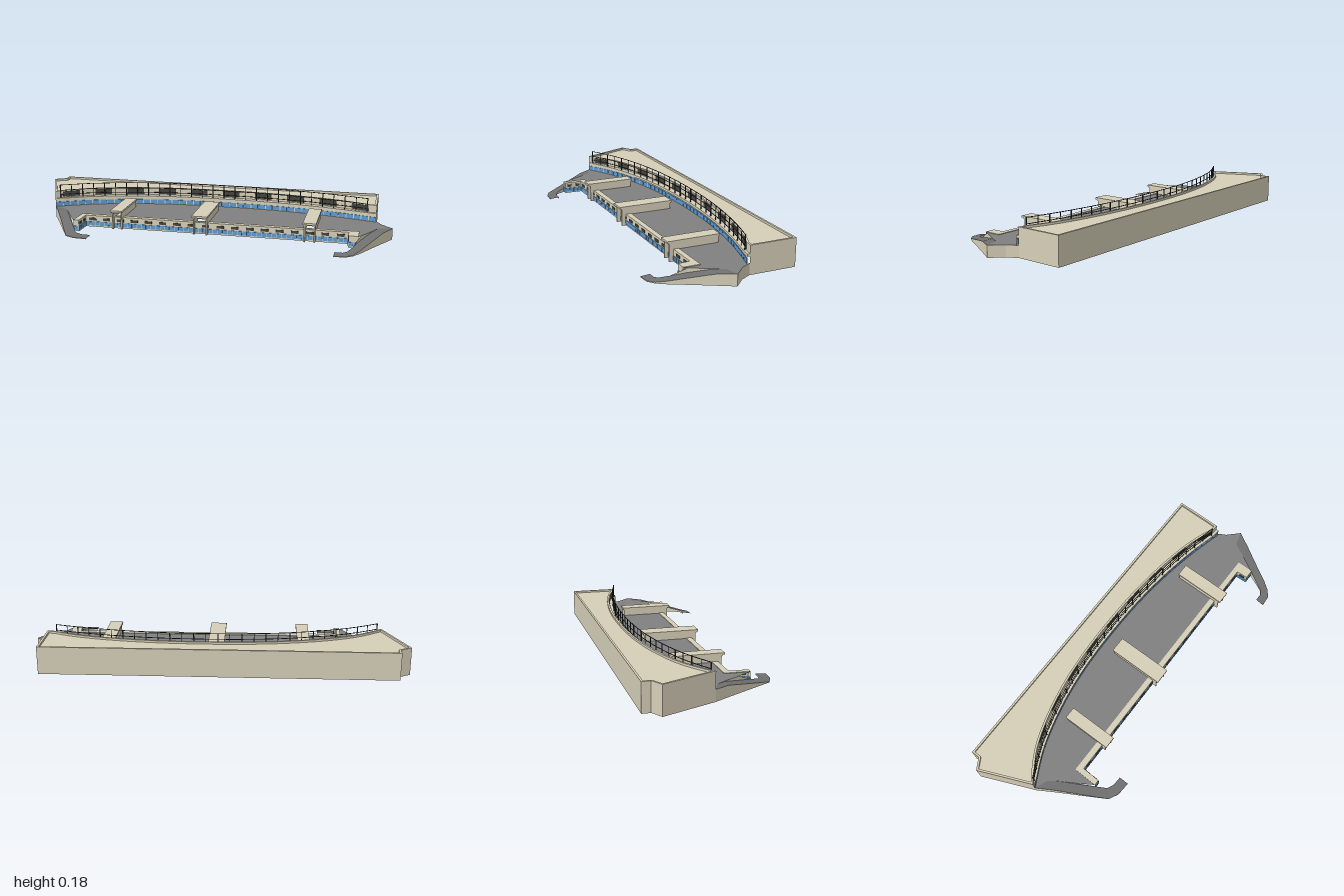
import * as THREE from 'three';

const mat = (color) => new THREE.MeshStandardMaterial({ color, flatShading: true, side: THREE.DoubleSide });
const V = (x, z, y = 0) => new THREE.Vector3(x, y, z);
const path = (list) => list.map(([x, z]) => V(x, z));

export function createModel() {
  const root = new THREE.Group();
  const beige = mat(0xd6cfb8), paving = mat(0x808080), asphalt = mat(0x707070);
  const blue = mat(0x5b9bd5), dark = mat(0x45453f), steel = mat(0x2c2f33);

  const add = (name, geo, material, parent = root) => {
    const m = new THREE.Mesh(geo, material);
    m.name = name;
    parent.add(m);
    return m;
  };
  const group = (name) => {
    const g = new THREE.Group();
    g.name = name;
    root.add(g);
    return g;
  };
  const box = (name, x0, x1, y0, y1, z0, z1, material, parent) =>
    add(name, new THREE.BoxGeometry(x1 - x0, y1 - y0, z1 - z0), material, parent)
      .position.set((x0 + x1) / 2, (y0 + y1) / 2, (z0 + z1) / 2);

  // Surface between two matching rows of points
  const ribbon = (name, a, b, material, parent) => {
    const pos = [], index = [];
    a.forEach((p, i) => pos.push(...p.toArray(), ...b[i].toArray()));
    for (let i = 0; i < a.length - 1; i++) {
      const k = 2 * i;
      index.push(k, k + 2, k + 1, k + 1, k + 2, k + 3);
    }
    const geo = new THREE.BufferGeometry();
    geo.setAttribute('position', new THREE.Float32BufferAttribute(pos, 3));
    geo.setIndex(index);
    geo.computeVertexNormals();
    return add(name, geo, material, parent);
  };
  // Upright wall along a plan path; the top may vary
  const wall = (name, pts, y0, top, material = beige, parent = root) => {
    const h = typeof top === 'function' ? top : () => top;
    return ribbon(name, pts.map((p) => V(p.x, p.z, y0)), pts.map((p) => V(p.x, p.z, h(p))), material, parent);
  };
  // Flat plan shape, extruded upward when y1 > y0
  const slab = (name, pts, y0, y1, material, holes = []) => {
    const flat = (q) => q.map((p) => new THREE.Vector2(p.x, -p.z));
    const shape = new THREE.Shape(flat(pts));
    shape.holes = holes.map((h) => new THREE.Path(flat(h)));
    const geo = y1 > y0
      ? new THREE.ExtrudeGeometry(shape, { depth: y1 - y0, bevelEnabled: false })
      : new THREE.ShapeGeometry(shape);
    geo.rotateX(-Math.PI / 2).translate(0, y0, 0);
    return add(name, geo, material);
  };
  // Thin upright panel between two plan points
  const panel = (name, p, q, y0, y1, depth, material, parent) => {
    const m = add(name, new THREE.BoxGeometry(p.distanceTo(q), y1 - y0, depth), material, parent);
    m.position.set((p.x + q.x) / 2, (y0 + y1) / 2, (p.z + q.z) / 2);
    m.rotation.y = -Math.atan2(q.z - p.z, q.x - p.x);
  };
  const panels = (name, curve, n, fill, y0, y1, depth, material, parent) => {
    for (let i = 0; i < n; i++) {
      const c = (i + 0.5) / n, h = fill / n / 2;
      panel(name, curve.getPointAt(c - h), curve.getPointAt(c + h), y0, y1, depth, material, parent);
    }
  };
  // Closed plan outline moved inward
  const inset = (pts, d) => pts.map((p, i) => {
    const n = pts.length;
    const u = p.clone().sub(pts[(i + n - 1) % n]).normalize();
    const v = pts[(i + 1) % n].clone().sub(p).normalize();
    const nu = V(u.z * -1, u.x), nv = V(v.z * -1, v.x);
    const k = d / Math.max(0.4, 1 + nu.dot(nv));
    return p.clone().addScaledVector(nu.add(nv), k);
  });

  const deckY = 0.06, ledgeY = 0.107, roofY = 0.148;

  // Curved frontage: lower line, and upper line set back behind a balcony
  const lower = new THREE.CatmullRomCurve3(path([[-0.88, 0], [-0.7, -0.09], [-0.5, -0.152], [-0.3, -0.19],
    [-0.1, -0.208], [0.1, -0.212], [0.3, -0.206], [0.5, -0.186], [0.7, -0.152], [0.91, -0.1]]));
  const low = lower.getSpacedPoints(40);
  const up = low.map((p, i) => V(p.x, p.z - 0.028 * (1 - ((i - 20) / 20) ** 8) - (i === 40 ? 0.015 : 0)));
  const upper = new THREE.CatmullRomCurve3(up);

  // Main hall: outer walls, recessed roof, parapet
  const rear = path([[0.91, -0.115], [0.91, -0.365], [-0.94, -0.36], [-0.94, -0.315], [-1, -0.28], [-0.88, 0]]);
  const outline = [...up, ...rear.slice(1, -1)].reverse();
  const inner = inset(outline, -0.011);
  const isIn = inner[1].z > outline[1].z === outline[1].z < -0.3;
  const rim = isIn ? inner : inset(outline, 0.011);
  wall('outerWall', rear, 0, roofY);
  wall('upperFacade', up, 0.09, roofY);
  slab('parapet', outline, 0.136, roofY, beige, [rim]);
  slab('roof', outline, 0.137, 0.137, beige);

  // Lower storey with a glazing band, and the balcony ledge above it
  wall('lowerFacade', low, deckY, 0.095);
  const glass = group('lowerWindows');
  panels('window', lower, 44, 0.88, 0.063, 0.086, 0.006, blue, glass);
  const lip = low.map((p, i) => V(p.x, p.z + (i > 0 && i < 40 ? 0.006 : 0)));
  slab('balconyLedge', [...lip, ...[...up].reverse()], 0.094, ledgeY, beige);
  const shades = group('upperWindows');
  panels('window', upper, 10, 0.52, 0.112, 0.143, 0.006, dark, shades);

  // Balcony railing: posts and rails following the curve
  const railing = group('balconyRailing');
  const posts = [];
  for (let i = 0; i <= 28; i++) posts.push(lower.getPointAt(0.015 + 0.957 * i / 28));
  posts.forEach((p, i) => {
    const t = i % 2 ? 0.0015 : 0.0025;
    p.z -= 0.004;
    box('post', p.x - t, p.x + t, ledgeY, 0.184, p.z - t, p.z + t, steel, railing);
    if (i === 0) return;
    for (const y of [0.125, 0.15, 0.181]) panel('rail', posts[i - 1], p, y, y + 0.003, 0.003, steel, railing);
  });

  // Deck with openings below the three stair halls
  const halls = [[-0.46, 0.066, -0.1, 0.172], [0.003, 0.086, -0.135, 0.172], [0.583, 0.07, -0.12, 0.166]];
  const rampR = { out: [[1, 0], [0.955, 0.08], [0.9, 0.18], [0.85, 0.275], [0.82, 0.32], [0.785, 0.348], [0.725, 0.353]],
    in: [[0.925, 0.02], [0.895, 0.08], [0.845, 0.17], [0.812, 0.245], [0.79, 0.29], [0.768, 0.305], [0.727, 0.305]] };
  const rampL = { out: [[-0.88, 0], [-0.835, 0.075], [-0.78, 0.17], [-0.72, 0.275], [-0.685, 0.335], [-0.635, 0.36], [-0.56, 0.365]],
    in: [[-0.81, 0.03], [-0.775, 0.08], [-0.725, 0.165], [-0.678, 0.24], [-0.645, 0.295], [-0.61, 0.31], [-0.56, 0.312]] };
  const frontage = path([[0.835, 0.19], [0.785, 0.19], [0.782, 0.128], [-0.645, 0.14], [-0.648, 0.24], [-0.678, 0.24]]);
  const deckEdge = [...low, ...path([[0.91, -0.115], [0.94, -0.06], ...rampR.out.slice(0, 1), ...rampR.in.slice(0, 3)]),
    ...frontage, ...path(rampL.in.slice(0, 3).reverse())];
  const openings = halls.map(([x, w, z0, z1]) => {
    const h = w / 2 - 0.008;
    return path([[x - h, z0 + 0.01], [x + h, z0 + 0.01], [x + h, 0.118], [x - h, 0.118]]);
  });
  slab('deck', deckEdge, deckY, deckY, paving, openings);
  wall('deckSideWall', path([[0.91, -0.115], [0.94, -0.06], [1, 0]]), 0, deckY);

  // Curling ramps with walls below both edges
  const rampH = (p) => THREE.MathUtils.clamp(deckY - (p.z - 0.065) * 0.212, 0.004, deckY);
  for (const r of [rampL, rampR]) {
    const g = group('ramp');
    const o = path(r.out), n = path(r.in);
    const lift = (q) => q.map((p) => V(p.x, p.z, rampH(p)));
    ribbon('rampSurface', lift(o), lift(n), asphalt, g);
    wall('rampOuterWall', o, 0, rampH, beige, g);
    wall('rampInnerWall', n.slice(3), 0, rampH, beige, g);
    wall('deckRetainingWall', n.slice(0, 4), 0, (p) => (p.z < 0.24 ? deckY : rampH(p)), beige, g);
  }

  // Lower front building: walls, glazing, dark vents and a roof strip
  wall('frontWall', frontage, 0, deckY);
  const shop = group('frontWindows');
  [[0, 1, 2], [1, 2, 3], [2, 3, 54], [3, 4, 4], [4, 5, 1]].forEach(([a, b, n]) => {
    const line = new THREE.LineCurve3(frontage[a], frontage[b]);
    panels('window', line, n, 0.88, 0.008, 0.03, 0.006, blue, shop);
    if (n > 2) panels('vent', line, Math.ceil(n / 3), 0.5, 0.037, 0.051, 0.006, dark, shop);
  });
  slab('frontRoofStrip', [...frontage, ...path([[-0.675, 0.108], [0.835, 0.1]])], deckY, deckY + 0.003, beige,
    halls.map(([x, w]) => path([[x - w / 2 + 0.008, 0.113], [x + w / 2 - 0.008, 0.113],
      [x + w / 2 - 0.008, 0.122], [x - w / 2 + 0.008, 0.122]])));

  // Stair halls: side walls, back wall, front posts and an overhanging roof
  for (const [x, w, z0, z1] of halls) {
    const g = group('stairHall');
    const h = w / 2 - 0.005, t = 0.007;
    for (const s of [-1, 1]) {
      const a = x + s * h, b = x + s * (h - t), lo = Math.min(a, b), hi = Math.max(a, b);
      box('sideWall', lo, hi, deckY, 0.093, z0 + 0.006, z1 - 0.014, beige, g);
      box('frontPost', lo, hi, 0, deckY, 0.1, z1 - 0.014, beige, g);
    }
    box('backWall', x - h, x + h, deckY, 0.093, z0 + 0.006, z0 + 0.012, beige, g);
    box('eaves', x - h - 0.001, x + h + 0.001, 0.091, 0.097, z0 + 0.003, z1 - 0.008, beige, g);
    box('hallRoof', x - w / 2, x + w / 2, 0.097, 0.107, z0, z1, beige, g);
  }
  return root;
}
